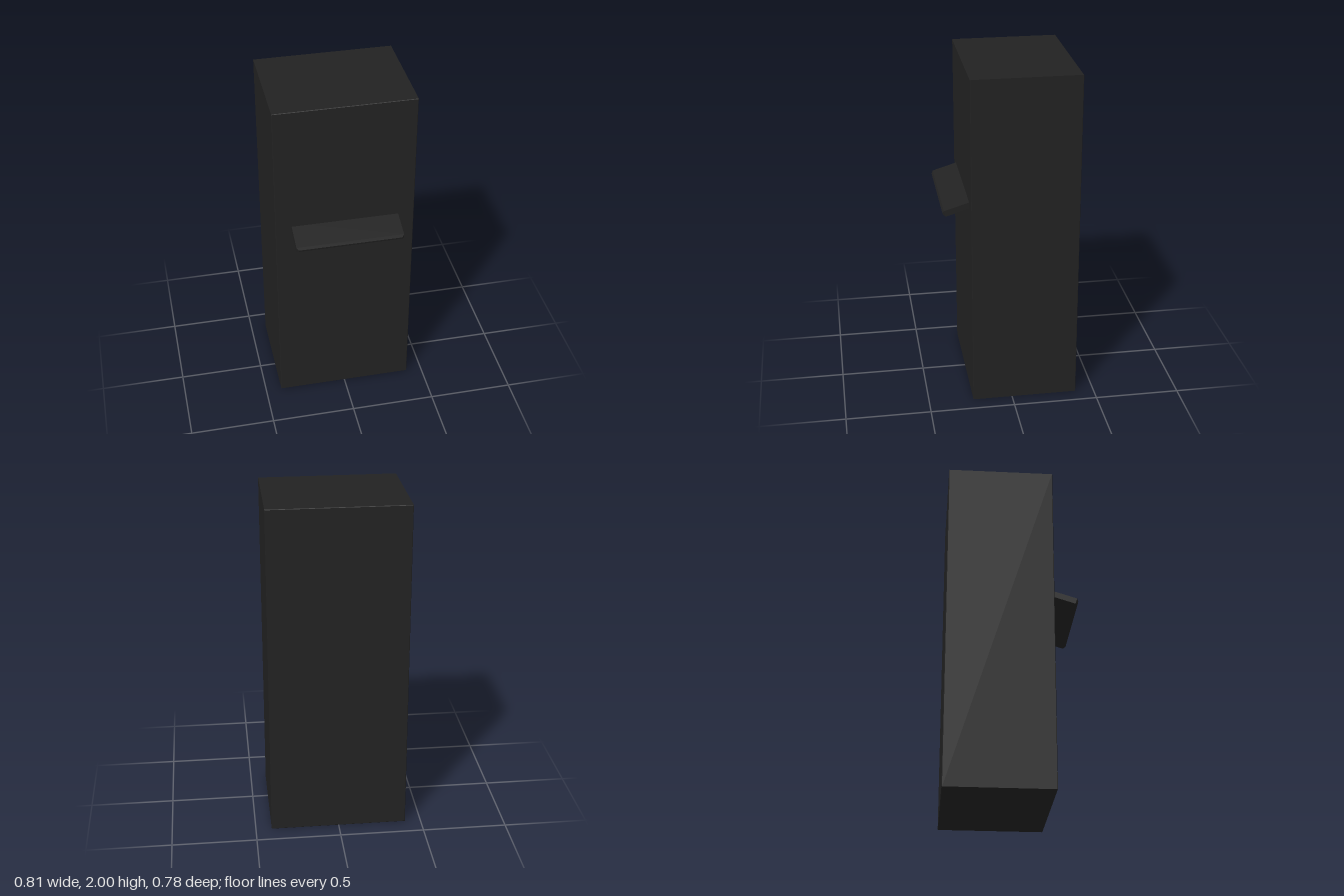
import * as THREE from 'three';

// Box with chamfered edges, centred on the origin
function chamferedBox(w, h, d, c) {
  const x = w / 2 - c, y = h / 2 - c;
  const shape = new THREE.Shape([
    new THREE.Vector2(-x, -y), new THREE.Vector2(x, -y),
    new THREE.Vector2(x, y), new THREE.Vector2(-x, y),
  ]);
  const geo = new THREE.ExtrudeGeometry(shape, {
    depth: d - 2 * c, bevelEnabled: true, bevelSegments: 1, bevelSize: c, bevelThickness: c,
  });
  return geo.translate(0, 0, c - d / 2);
}

export function createModel() {
  const group = new THREE.Group();
  const charcoal = new THREE.MeshStandardMaterial({ color: 0x222222 });
  charcoal.name = 'charcoal';

  // Tall cabinet body
  const cabinet = new THREE.Mesh(chamferedBox(0.81, 2, 0.625, 0.003), charcoal);
  cabinet.name = 'cabinet';
  cabinet.position.set(0, 1, -0.0775);

  // Sloping shelf, its back edge set into the cabinet front
  const shelf = new THREE.Mesh(chamferedBox(0.624, 0.036, 0.2, 0.012), charcoal);
  shelf.name = 'shelf';
  shelf.position.set(0, 1.214, 0.29);
  shelf.rotation.x = THREE.MathUtils.degToRad(17);

  group.add(cabinet, shelf);
  return group;
}
